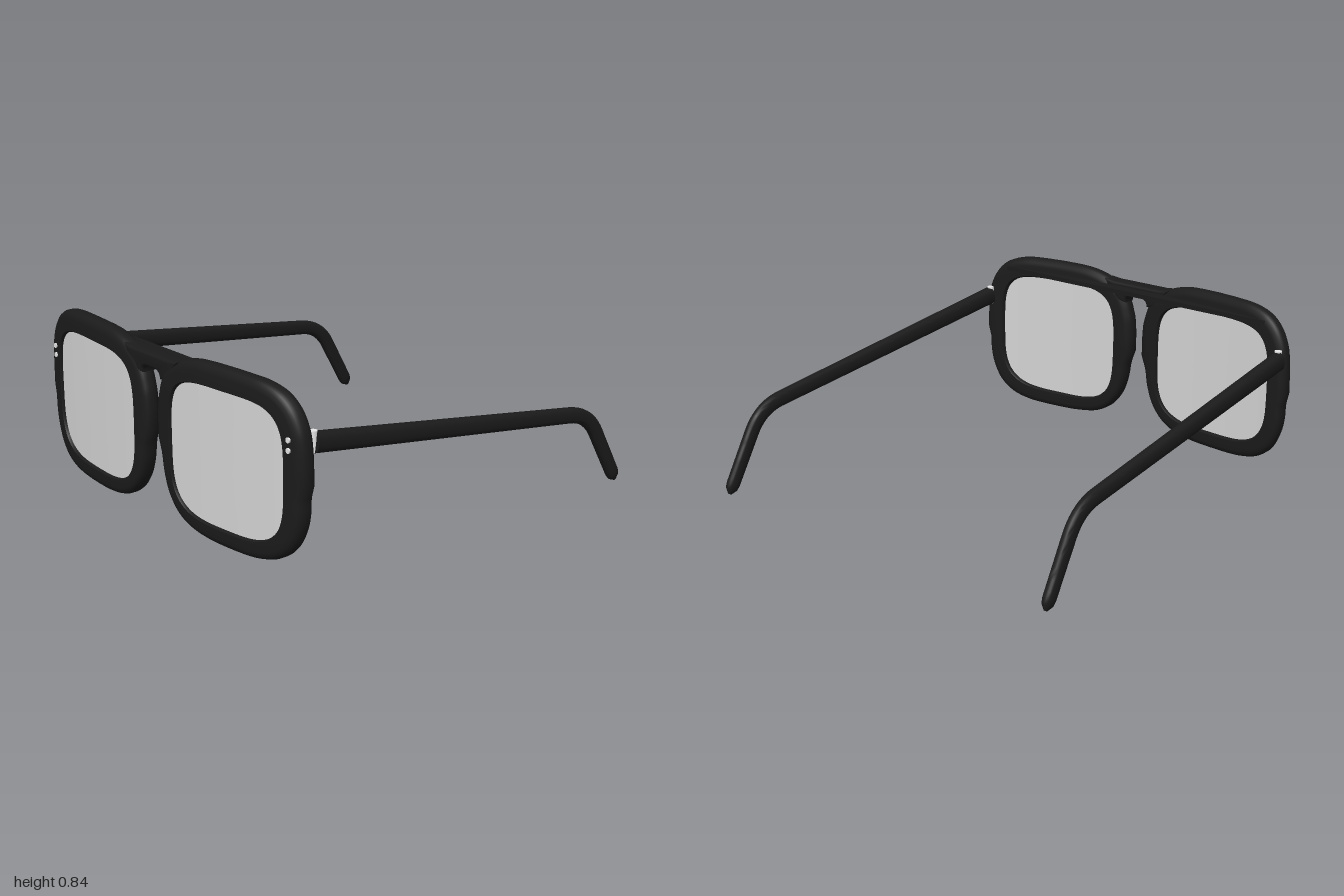
import * as THREE from 'three';
import { toCreasedNormals } from 'three/addons/utils/BufferGeometryUtils.js';

const material = (name, color, side = THREE.FrontSide) => {
  const m = new THREE.MeshStandardMaterial({ color, side });
  m.name = name;
  return m;
};

// The whole front bows backwards towards the temples
const THICK = 0.088;
const frontZ = (x) => 0.997 - 0.08 * (x / 0.93) ** 2;
const backZ = (x) => frontZ(x) - THICK;

// Rounded-square lens opening, softer at the bottom
const LENS = { x: 0.482, y: 0.429, w: 0.345, h: 0.308 };
function lensPoint(angle, scale = 1) {
  const c = Math.cos(angle), s = Math.sin(angle);
  const p = 2 / (s > 0 ? 4.2 : 3.5);
  const f = (v) => Math.sign(v) * Math.abs(v) ** p;
  return new THREE.Vector2(LENS.x + LENS.w * scale * f(c), LENS.y + LENS.h * scale * f(s));
}

// Outer edge of one rim, with the temple lug and the nose pad as slight steps
const RIM = [
  [0.93, 0.5], [0.925, 0.59], [0.912, 0.66], [0.872, 0.74], [0.81, 0.795], [0.72, 0.825],
  [0.6, 0.834], [0.36, 0.834], [0.28, 0.826], [0.2, 0.804], [0.14, 0.775], [0.09, 0.735],
  [0.066, 0.69], [0.049, 0.64], [0.037, 0.59], [0.037, 0.395], [0.055, 0.37], [0.075, 0.27],
  [0.11, 0.18], [0.17, 0.108], [0.25, 0.064], [0.36, 0.043], [0.5, 0.037], [0.68, 0.045],
  [0.78, 0.075], [0.85, 0.13], [0.897, 0.22], [0.914, 0.3], [0.917, 0.37], [0.93, 0.395],
];

// Rim cross-section: [0 inner .. 1 outer, 0 back .. 1 front]
const SECTION = [
  [0, 0.1], [0, 0.9], [0.06, 1], [0.6, 1], [0.8, 0.95], [0.93, 0.83], [1, 0.64],
  [1, 0.36], [0.93, 0.17], [0.8, 0.05], [0.6, 0], [0.06, 0],
];

function rimGeometry(side) {
  const curve = new THREE.CatmullRomCurve3(
    RIM.map(([x, y]) => new THREE.Vector3(x, y, 0)), true, 'centripetal');
  const outer = curve.getSpacedPoints(720).map((p) => ({
    p, a: Math.atan2(p.y - LENS.y, p.x - LENS.x),
  }));
  const n = 160, m = SECTION.length, positions = [], index = [];
  for (let i = 0; i < n; i++) {
    const inner = lensPoint((i / n) * Math.PI * 2);
    const a = Math.atan2(inner.y - LENS.y, inner.x - LENS.x);
    // Outer point lying in the same direction from the lens centre
    const off = (o) => Math.abs(Math.sin((o.a - a) / 2));
    const edge = outer.reduce((best, o) => (off(o) < off(best) ? o : best)).p;
    SECTION.forEach(([u, v], j) => {
      const x = THREE.MathUtils.lerp(inner.x, edge.x, u);
      const y = THREE.MathUtils.lerp(inner.y, edge.y, u);
      positions.push(side * x, y, backZ(x) + v * THICK);
      const i2 = (i + 1) % n, j2 = (j + 1) % m;
      const A = i * m + j, B = i2 * m + j, C = i * m + j2, D = i2 * m + j2;
      if (side > 0) index.push(A, C, B, B, C, D);
      else index.push(A, B, C, B, D, C);
    });
  }
  const geo = new THREE.BufferGeometry();
  geo.setAttribute('position', new THREE.Float32BufferAttribute(positions, 3));
  geo.setIndex(index);
  return toCreasedNormals(geo, 0.7);
}

// Short bar joining the rims, flaring into them underneath
function bridgeGeometry() {
  const s = new THREE.Shape();
  s.moveTo(0.2, 0.798);
  s.lineTo(0.14, 0.793);
  s.lineTo(-0.14, 0.793);
  s.lineTo(-0.2, 0.798);
  s.lineTo(-0.12, 0.7);
  s.lineTo(-0.066, 0.69);
  s.quadraticCurveTo(-0.066, 0.727, -0.03, 0.727);
  s.lineTo(0.03, 0.727);
  s.quadraticCurveTo(0.066, 0.727, 0.066, 0.69);
  s.lineTo(0.12, 0.7);
  const b = 0.014;
  const geo = new THREE.ExtrudeGeometry(s, {
    depth: THICK - 0.006 - 2 * b, bevelThickness: b, bevelSize: b, bevelOffset: -b, bevelSegments: 3,
  });
  geo.translate(0, 0, backZ(0) + b);
  return toCreasedNormals(geo, 0.7);
}

// Flat-backed web across the inside of the bowed brow
function browGeometry() {
  const s = new THREE.Shape();
  for (let i = 0; i <= 32; i++) {
    const x = -0.8 + i * 0.05;
    if (i) s.lineTo(x, backZ(x) + 0.01);
    else s.moveTo(x, backZ(x) + 0.01);
  }
  s.lineTo(0.8, backZ(0.8));
  s.lineTo(-0.8, backZ(0.8));
  const geo = new THREE.ExtrudeGeometry(s, { depth: 0.022, bevelEnabled: false });
  geo.rotateX(Math.PI / 2);
  return geo.translate(0, 0.773, 0);
}

// Lens face following a depth rule
function lensGeometry(side, depth) {
  const geo = new THREE.RingGeometry(0.001, 1, 96, 10);
  const pos = geo.attributes.position;
  for (let i = 0; i < pos.count; i++) {
    const x = side * pos.getX(i), y = pos.getY(i);
    const p = lensPoint(Math.atan2(y, x), Math.hypot(x, y) * 1.01);
    pos.setXYZ(i, side * p.x, p.y, depth(p.x));
  }
  geo.computeVertexNormals();
  return geo;
}

// Tapered arm swept along a path that hooks down behind the ear
function templeGeometry(side) {
  const v = (x, y, z) => new THREE.Vector3(side * x, y, z);
  const path = new THREE.CurvePath();
  path.add(new THREE.LineCurve3(v(0.901, 0.6, 0.828), v(0.953, 0.394, -0.65)));
  path.add(new THREE.CubicBezierCurve3(
    v(0.953, 0.394, -0.65), v(0.955, 0.383, -0.73), v(0.957, 0.345, -0.79), v(0.958, 0.28, -0.83)));
  path.add(new THREE.LineCurve3(v(0.958, 0.28, -0.83), v(0.962, 0.002, -0.988)));
  const geo = new THREE.CylinderGeometry(1, 1, 1, 20, 80);
  const pos = geo.attributes.position;
  const X = new THREE.Vector3(1, 0, 0);
  const squared = (c) => Math.sign(c) * Math.abs(c) ** 0.75;
  for (let i = 0; i < pos.count; i++) {
    const t = THREE.MathUtils.clamp(0.5 - pos.getY(i), 0, 1);
    const centre = path.getPointAt(t);
    const axis = path.getTangentAt(t).negate().setX(0).normalize();
    const normal = new THREE.Vector3().crossVectors(X, axis);
    const k = Math.max(0, (t - 0.975) / 0.025);
    const round = Math.sqrt(Math.max(0.06, 1 - k * k));
    const w = THREE.MathUtils.lerp(0.034, 0.023, t) * round;
    const h = THREE.MathUtils.lerp(0.045, 0.034, t) * round;
    centre.addScaledVector(X, squared(pos.getX(i)) * w);
    centre.addScaledVector(normal, squared(pos.getZ(i)) * h);
    pos.setXYZ(i, centre.x, centre.y, centre.z);
  }
  return toCreasedNormals(geo, 0.8);
}

export function createModel() {
  const black = material('black acetate', 0x1b1b1b);
  const grey = material('grey lens', 0xd6d6d6, THREE.DoubleSide);
  const silver = material('silver metal', 0xe8e8e8);

  const model = new THREE.Group();
  model.name = 'glasses';
  const add = (name, geo, mat) => {
    const mesh = new THREE.Mesh(geo, mat);
    mesh.name = name;
    model.add(mesh);
    return mesh;
  };

  add('bridge', bridgeGeometry(), black);
  add('browWeb', browGeometry(), black);

  for (const side of [-1, 1]) {
    const label = side > 0 ? 'left' : 'right';
    add(`${label}Rim`, rimGeometry(side), black);
    add(`${label}LensFront`, lensGeometry(side, (x) => frontZ(x) - 0.014), grey);
    add(`${label}LensBack`, lensGeometry(side, (x) => backZ(x) + 0.02), grey);
    add(`${label}Temple`, templeGeometry(side), black);

    // Hinge barrel between frame and arm
    add(`${label}Hinge`, new THREE.CylinderGeometry(0.018, 0.018, 0.09, 16), silver)
      .position.set(side * 0.897, 0.604, 0.828);

    // Pair of small rivets on the front
    for (const y of [0.576, 0.621]) {
      const rivet = add(`${label}Rivet`, new THREE.CylinderGeometry(0.012, 0.012, 0.014, 10), silver);
      rivet.rotation.x = Math.PI / 2;
      rivet.position.set(side * 0.863, y, frontZ(0.863));
    }
  }
  return model;
}
